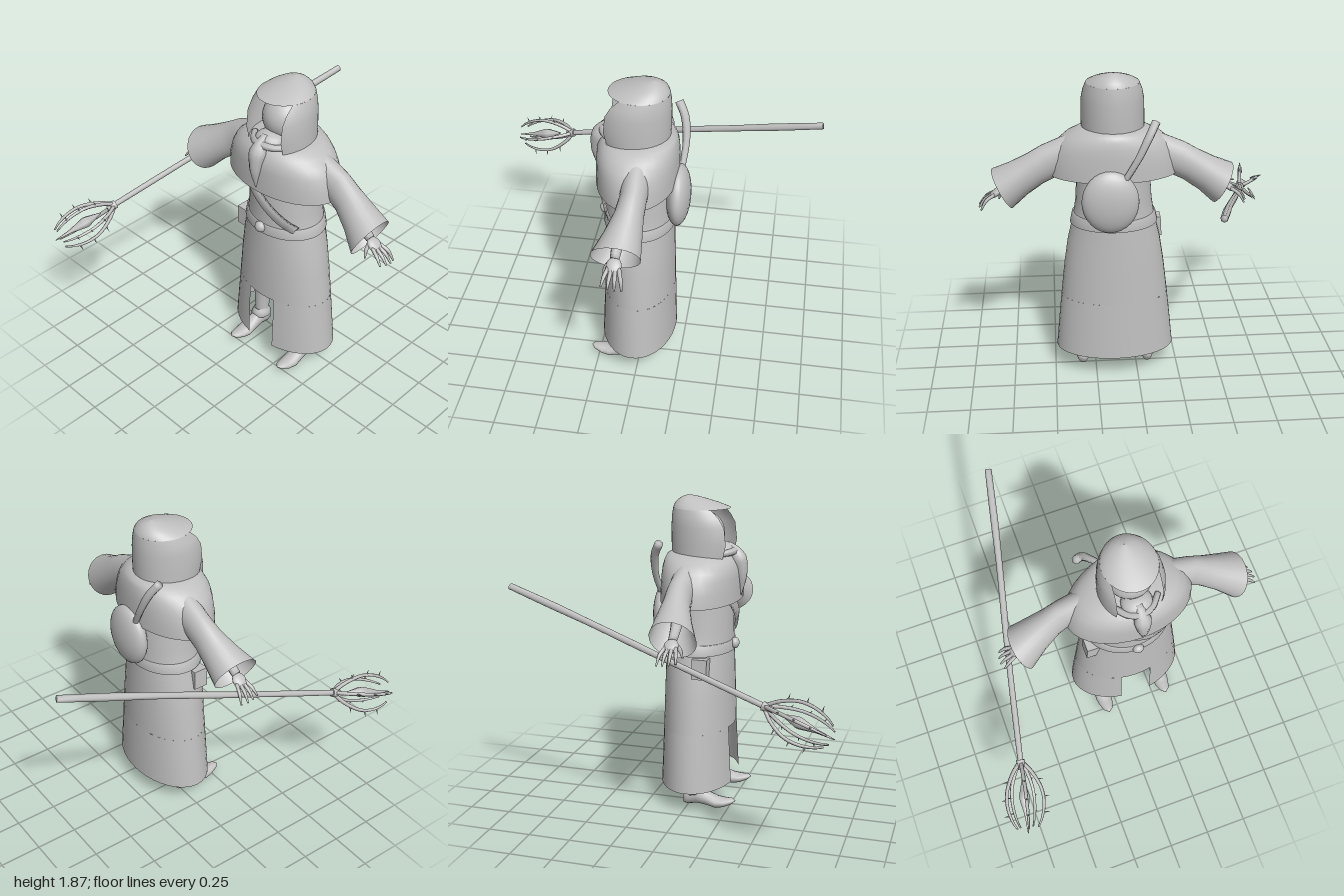
import * as THREE from 'three';

const V = (x, y, z) => new THREE.Vector3(x, y, z);
const grey = new THREE.MeshStandardMaterial({ color: 0xc0c0c0, side: THREE.DoubleSide });
grey.name = 'plain grey';

function add(parent, name, geometry) {
  const mesh = new THREE.Mesh(geometry, grey);
  mesh.name = name;
  parent.add(mesh);
  return mesh;
}

// Skin a surface over rings with equal point counts
function loft(rings, closed = true) {
  const n = rings[0].length, pos = [], idx = [];
  rings.forEach(r => r.forEach(p => pos.push(p.x, p.y, p.z)));
  for (let i = 0; i < rings.length - 1; i++) {
    for (let j = 0; j < (closed ? n : n - 1); j++) {
      const k = (j + 1) % n, a = i * n, b = a + n;
      idx.push(a + j, a + k, b + j, a + k, b + k, b + j);
    }
  }
  const g = new THREE.BufferGeometry();
  g.setAttribute('position', new THREE.Float32BufferAttribute(pos, 3));
  g.setIndex(idx);
  g.computeVertexNormals();
  return g;
}

// Elliptical ring around c with half axes u and v
function oval(c, u, v, n = 32) {
  return Array.from({ length: n }, (_, i) => {
    const t = i / n * Math.PI * 2;
    return c.clone().addScaledVector(u, Math.cos(t)).addScaledVector(v, Math.sin(t));
  });
}

// Level rings from rows of [y, z centre, half width, half depth]; gap leaves the front open
function level(rows, gap = 0) {
  return loft(rows.map(([y, cz, rx, rz]) => {
    if (!gap) return oval(V(0, y, cz), V(0, 0, rz), V(rx, 0, 0), 36);
    const g = Math.asin(gap / rx);
    return Array.from({ length: 37 }, (_, i) => {
      const t = g + (Math.PI * 2 - 2 * g) * i / 36;
      return V(rx * Math.sin(t), y, cz + rz * Math.cos(t));
    });
  }), !gap);
}

// Tapered round limb along a smooth path, capped at both ends
function limb(points, radii, n = 8) {
  const curve = new THREE.CatmullRomCurve3(points), steps = points.length * 4;
  const f = curve.computeFrenetFrames(steps, false), rings = [];
  for (let i = 0; i <= steps; i++) {
    const s = i / steps * (radii.length - 1), k = Math.min(Math.floor(s), radii.length - 2);
    const r = THREE.MathUtils.lerp(radii[k], radii[k + 1], s - k);
    const ring = q => oval(curve.getPointAt(i / steps), f.normals[i].clone().multiplyScalar(q),
      f.binormals[i].clone().multiplyScalar(q), n);
    if (i === 0) rings.push(ring(0.0001));
    rings.push(ring(r));
    if (i === steps) rings.push(ring(0.0001));
  }
  return loft(rings);
}

function buildRobe(body) {
  add(body, 'robe', level([[0.49, 0.02, 0.322, 0.213], [0.7, 0.02, 0.298, 0.208], [0.85, 0.02, 0.275, 0.204],
    [1, 0.02, 0.24, 0.2], [1.1, 0.02, 0.225, 0.198], [1.27, 0.02, 0.215, 0.198], [1.4, 0.02, 0.21, 0.19]]));
  add(body, 'slitSkirt', level([[0.135, 0.022, 0.358, 0.227], [0.3, 0.021, 0.342, 0.22], [0.49, 0.02, 0.322, 0.213]], 0.0975));
  add(body, 'shoulderCape', level([[1.265, 0.03, 0.378, 0.235], [1.34, 0.03, 0.373, 0.234], [1.41, 0.03, 0.35, 0.232],
    [1.46, 0.03, 0.32, 0.228], [1.5, 0.025, 0.275, 0.215], [1.525, 0.02, 0.22, 0.2], [1.545, 0.02, 0.17, 0.17], [1.55, 0.02, 0.001, 0.001]]));

  // Belt with round buckle
  add(body, 'belt', level([[0.955, 0.02, 0.252, 0.203], [0.957, 0.02, 0.26, 0.21], [1.018, 0.02, 0.247, 0.206], [1.02, 0.02, 0.236, 0.198]]));
  const buckle = add(body, 'buckle', new THREE.SphereGeometry(0.034, 16, 12));
  buckle.position.set(-0.003, 0.995, 0.232);
  buckle.scale.z = 0.8;

  // Diagonal chest strap lying on the robe
  const strap = [];
  for (let i = 0; i <= 12; i++) {
    const x = -0.17 + 0.37 * i / 12, y = 1.36 - 0.335 * i / 12;
    const z = 0.025 + 0.22 * Math.sqrt(1 - (x / 0.25) ** 2);
    strap.push([V(x - 0.015, y - 0.025, z - 0.02), V(x - 0.015, y - 0.025, z),
      V(x + 0.015, y + 0.025, z), V(x + 0.015, y + 0.025, z - 0.02)]);
  }
  add(body, 'chestStrap', loft(strap));

  const pouch = add(body, 'pouch', new THREE.BoxGeometry(0.08, 0.12, 0.09));
  pouch.position.set(-0.247, 0.89, 0.09);
  pouch.rotation.z = -0.05;
}

function buildHead(body) {
  // Hood sides with open face, and peaked crown
  const brow = [1.8, 0.025, 0.153, 0.17];
  add(body, 'hoodSides', level([[1.5, 0.045, 0.182, 0.195], [1.6, 0.055, 0.184, 0.21], [1.7, 0.05, 0.181, 0.205], [1.755, 0.038, 0.17, 0.19], brow], 0.13));
  add(body, 'hoodCrown', level([brow, [1.825, -0.005, 0.122, 0.13], [1.847, -0.032, 0.08, 0.08], [1.862, -0.047, 0.04, 0.04], [1.87, -0.055, 0.001, 0.001]]));

  const head = add(body, 'head', new THREE.SphereGeometry(0.13, 24, 16));
  head.position.set(0, 1.65, 0.03);
  const mask = add(body, 'mask', new THREE.SphereGeometry(1, 16, 10));
  mask.position.set(0, 1.555, 0.15);
  mask.scale.set(0.09, 0.05, 0.08);
  add(body, 'maskBand', limb([V(-0.128, 1.545, 0.14), V(-0.07, 1.55, 0.205), V(0, 1.555, 0.23), V(0.07, 1.55, 0.205), V(0.128, 1.545, 0.14)],
    [0.018, 0.024, 0.018], 6));
  add(body, 'beak', limb([V(0, 1.59, 0.18), V(0, 1.53, 0.235), V(0, 1.42, 0.265), V(0, 1.29, 0.265)], [0.02, 0.052, 0.032, 0.003], 10));
}

function buildArm(body, side) {
  const arm = new THREE.Group();
  arm.name = side > 0 ? 'leftArm' : 'rightArm';
  arm.scale.x = side;
  body.add(arm);
  // Flared sleeve rows: x, y, z, half height, half depth
  const rows = [[0.2, 1.41, 0, 0.11, 0.08], [0.37, 1.345, 0, 0.104, 0.074], [0.45, 1.3, 0.008, 0.1, 0.08],
    [0.55, 1.235, 0.025, 0.108, 0.105], [0.65, 1.165, 0.048, 0.13, 0.136]];
  add(arm, 'sleeve', loft(rows.map(([x, y, z, h, d]) => oval(V(x, y, z), V(0.46 * h, 0.89 * h, 0), V(0, 0, d), 24))));

  // Forearm, palm and spread fingers
  add(arm, 'forearm', limb([V(0.42, 1.31, 0.02), V(0.58, 1.215, 0.045), V(0.655, 1.165, 0.05)], [0.045, 0.035, 0.026]));
  const palm = add(arm, 'palm', new THREE.SphereGeometry(1, 14, 10));
  palm.position.set(0.685, 1.14, 0.05);
  palm.scale.set(0.05, 0.02, 0.042);
  palm.rotation.z = -0.65;
  for (let i = 0; i < 4; i++) {
    const s = i - 1.5, reach = 0.1 - 0.012 * Math.abs(s);
    add(arm, 'finger', limb([V(0.695, 1.135, 0.05 + s * 0.019), V(0.695 + reach * 0.6, 1.105, 0.05 + s * 0.03),
      V(0.695 + reach, 1.05 + 0.006 * i, 0.05 + s * 0.037)], [0.012, 0.011, 0.005], 6));
  }
  add(arm, 'thumb', limb([V(0.665, 1.15, 0.07), V(0.668, 1.11, 0.1), V(0.675, 1.075, 0.112)], [0.014, 0.012, 0.005], 6));
}

function buildLeg(body, side) {
  const leg = new THREE.Group();
  leg.name = side > 0 ? 'leftLeg' : 'rightLeg';
  leg.position.x = side * 0.2;
  body.add(leg);
  add(leg, 'shin', limb([V(0, 0.07, 0.025), V(0, 0.3, 0.015), V(-side * 0.03, 0.55, 0.03), V(-side * 0.08, 0.95, 0.02)], [0.04, 0.058, 0.06, 0.09], 12));
  add(leg, 'bootCuff', level([[0.08, 0.03, 0.042, 0.048], [0.1, 0.03, 0.062, 0.066], [0.13, 0.03, 0.05, 0.058], [0.15, 0.03, 0.04, 0.045]]));
  // Upturned pointed shoe rows: z, y, half width, half height
  const rows = [[-0.03, 0.045, 0.001, 0.001], [-0.024, 0.05, 0.03, 0.038], [0, 0.062, 0.04, 0.054], [0.06, 0.073, 0.043, 0.053],
    [0.12, 0.058, 0.047, 0.044], [0.18, 0.04, 0.052, 0.036], [0.23, 0.043, 0.044, 0.028], [0.275, 0.055, 0.028, 0.018], [0.297, 0.06, 0.001, 0.001]];
  add(leg, 'shoe', loft(rows.map(([z, y, w, h]) => oval(V(0, y, z), V(w, 0, 0), V(0, h, 0), 14))));
}

function buildBackGear(body) {
  // Rounded pan with a handle slung across the back
  const pan = add(body, 'backPan', new THREE.SphereGeometry(1, 28, 16));
  pan.position.set(0.03, 1.155, -0.205);
  pan.scale.set(0.165, 0.186, 0.07);
  add(body, 'panHandle', limb([V(-0.05, 1.28, -0.21), V(-0.13, 1.42, -0.222), V(-0.19, 1.54, -0.205), V(-0.232, 1.615, -0.165)], [0.018, 0.02, 0.024, 0.025]));
}

function buildStaff(root) {
  // Local +z runs along the shaft, starting at the cage
  const staff = new THREE.Group();
  staff.name = 'staff';
  staff.position.set(-0.735, 0.91, 0.62);
  staff.quaternion.setFromUnitVectors(V(0, 0, 1), V(-0.233, -0.283, 1).normalize());
  root.add(staff);
  add(staff, 'shaft', limb([V(0, 0, -1.71), V(0.004, 0.003, -1.2), V(-0.003, 0.002, -0.6), V(0, 0, 0.04)],
    [0.02, 0.023, 0.019, 0.02, 0.017, 0.018, 0.016], 7));
  const collar = add(staff, 'collar', new THREE.CylinderGeometry(0.026, 0.026, 0.035, 10));
  collar.rotation.x = Math.PI / 2;
  add(staff, 'crystal', limb([V(0, 0, 0.09), V(0, 0, 0.2), V(0, 0, 0.3), V(0, 0, 0.4)], [0.004, 0.036, 0.012, 0.003], 6));

  // Curved thorny prongs around the crystal
  for (let i = 0; i < 5; i++) {
    const prong = new THREE.Group();
    prong.name = 'prong';
    prong.rotation.z = i / 5 * Math.PI * 2 + 0.2;
    staff.add(prong);
    add(prong, 'prongArm', limb([V(0.012, 0, 0), V(0.06, 0, 0.06), V(0.105, 0, 0.16), V(0.108, 0, 0.25), V(0.085, 0, 0.33), V(0.062, 0, 0.37)],
      [0.012, 0.011, 0.01, 0.009, 0.005], 6));
    [[0.085, 0.1], [0.108, 0.2], [0.1, 0.29]].forEach(([r, z]) => {
      const thorn = add(prong, 'thorn', new THREE.ConeGeometry(0.007, 0.045, 5));
      thorn.position.set(r + 0.018, 0, z);
      thorn.rotation.z = -Math.PI / 2;
    });
  }
}

export function createModel() {
  const root = new THREE.Group();
  root.name = 'hoodedFigure';
  const body = new THREE.Group();
  body.name = 'body';
  body.position.x = 0.13;
  root.add(body);
  buildRobe(body);
  buildHead(body);
  buildBackGear(body);
  for (const side of [1, -1]) {
    buildArm(body, side);
    buildLeg(body, side);
  }
  buildStaff(root);
  return root;
}
